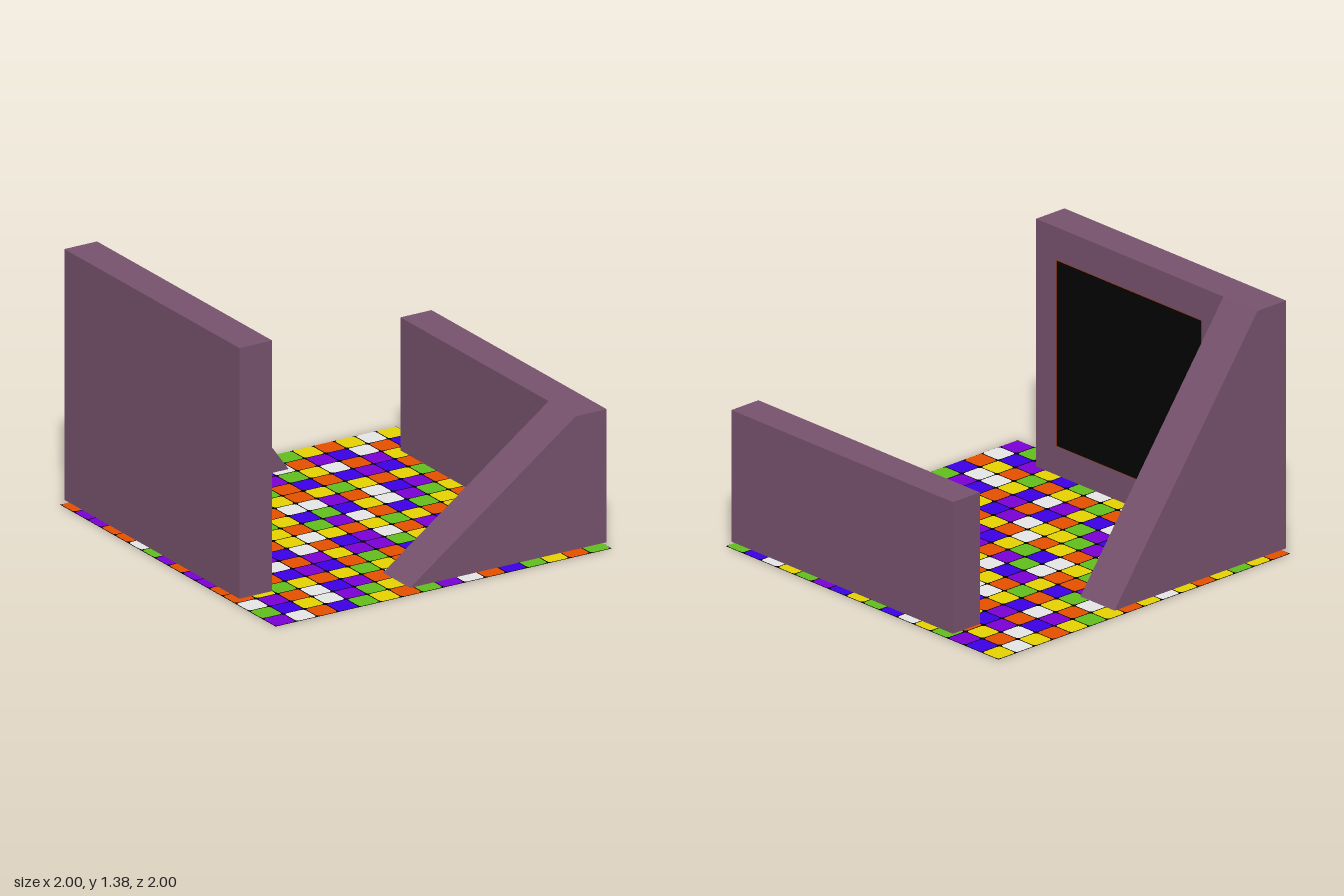
import * as THREE from 'three';
import { mergeGeometries } from 'three/addons/utils/BufferGeometryUtils.js';

const material = (name, color, side = THREE.FrontSide) => {
  const m = new THREE.MeshStandardMaterial({ color, side });
  m.name = name;
  return m;
};

// 8 x 8 tile pattern, repeated twice each way: Orange Yellow Green White Purple Blue
const PATTERN = [
  'OYGYOYWY',
  'PWOPBWOB',
  'PGYWOPYP',
  'OBOBPBOG',
  'OYGYOYGY',
  'WPOWBPOW',
  'GBYWPGYB',
  'PWOBGYOG',
];

// Flat rounded square, one face looking up and one looking down
function tileGeometry(size, radius, thickness) {
  const h = size / 2, k = h - radius;
  const s = new THREE.Shape();
  s.moveTo(-k, -h);
  s.lineTo(k, -h).quadraticCurveTo(h, -h, h, -k);
  s.lineTo(h, k).quadraticCurveTo(h, h, k, h);
  s.lineTo(-k, h).quadraticCurveTo(-h, h, -h, k);
  s.lineTo(-h, -k).quadraticCurveTo(-h, -h, -k, -h);
  const face = new THREE.ShapeGeometry(s, 3);
  return mergeGeometries([
    face.clone().rotateX(-Math.PI / 2).translate(0, thickness, 0),
    face.clone().rotateX(Math.PI / 2),
  ]);
}

export function createModel() {
  const model = new THREE.Group();
  const wallMat = material('mauve wall', 0x77526d);
  const screenMat = material('black screen', 0x020202, THREE.DoubleSide);
  const rimMat = material('brown rim', 0x7c3212, THREE.DoubleSide);
  const groutMat = material('black grout', 0x000000, THREE.DoubleSide);
  const tileMats = {
    O: material('orange tile', 0xe55000),
    Y: material('yellow tile', 0xe5d300),
    G: material('green tile', 0x62be1c),
    W: material('white tile', 0xe6e6e6),
    P: material('purple tile', 0x7a00d4),
    B: material('blue tile', 0x3c00e6),
  };

  const add = (name, geometry, mat, parent = model) => {
    const mesh = new THREE.Mesh(geometry, mat);
    mesh.name = name;
    parent.add(mesh);
    return mesh;
  };
  const box = (x0, x1, y0, y1, z0, z1) =>
    new THREE.BoxGeometry(x1 - x0, y1 - y0, z1 - z0)
      .translate((x0 + x1) / 2, (y0 + y1) / 2, (z0 + z1) / 2);
  // Triangular wall, profile in xy, extruded along z
  const wedge = (points, z0, z1) =>
    new THREE.ExtrudeGeometry(new THREE.Shape(points.map(p => new THREE.Vector2(...p))),
      { depth: z1 - z0, bevelEnabled: false }).translate(0, 0, z0);

  // Tiled floor
  const floor = new THREE.Group();
  floor.name = 'floor';
  model.add(floor);
  add('grout', new THREE.PlaneGeometry(2, 2).rotateX(-Math.PI / 2).translate(0, 0.0015, 0), groutMat, floor);
  const tile = tileGeometry(0.119, 0.02, 0.003);
  for (const [key, mat] of Object.entries(tileMats)) {
    const parts = [];
    for (let r = 0; r < 16; r++) {
      for (let c = 0; c < 16; c++) {
        if (PATTERN[r % 8][c % 8] !== key) continue;
        parts.push(tile.clone().translate(-0.9375 + c * 0.125, 0, -0.9375 + r * 0.125));
      }
    }
    add(mat.name + 's', mergeGeometries(parts), mat, floor);
  }

  // Walls and their sloping returns
  const base = 0.03;
  add('tallWall', box(-0.985, -0.79, base, 1.377, -0.985, 0.64), wallMat);
  add('tallSlopedWall', wedge([[-0.79, base], [0.19, base], [-0.79, 1.377]], -0.985, -0.735), wallMat);
  add('lowWall', box(0.8, 0.985, base, 0.745, -0.65, 0.975), wallMat);
  add('lowSlopedWall', wedge([[-0.185, base], [0.8, base], [0.8, 0.745]], 0.725, 0.975), wallMat);

  // Screen on the tall wall, with a thin raised rim
  const y0 = 0.19, y1 = 1.2, z0 = -0.577, z1 = 0.485, x = -0.79, depth = 0.007;
  const screen = new THREE.Group();
  screen.name = 'screen';
  model.add(screen);
  add('screenPanel', new THREE.PlaneGeometry(z1 - z0, y1 - y0).rotateY(Math.PI / 2)
    .translate(x + 0.001, (y0 + y1) / 2, (z0 + z1) / 2), screenMat, screen);
  for (const z of [z0, z1]) {
    add('rimSide', new THREE.PlaneGeometry(depth, y1 - y0)
      .translate(x + depth / 2, (y0 + y1) / 2, z), rimMat, screen);
  }
  for (const y of [y0, y1]) {
    add('rimEdge', new THREE.PlaneGeometry(depth, z1 - z0).rotateX(-Math.PI / 2)
      .translate(x + depth / 2, y, (z0 + z1) / 2), rimMat, screen);
  }
  return model;
}
